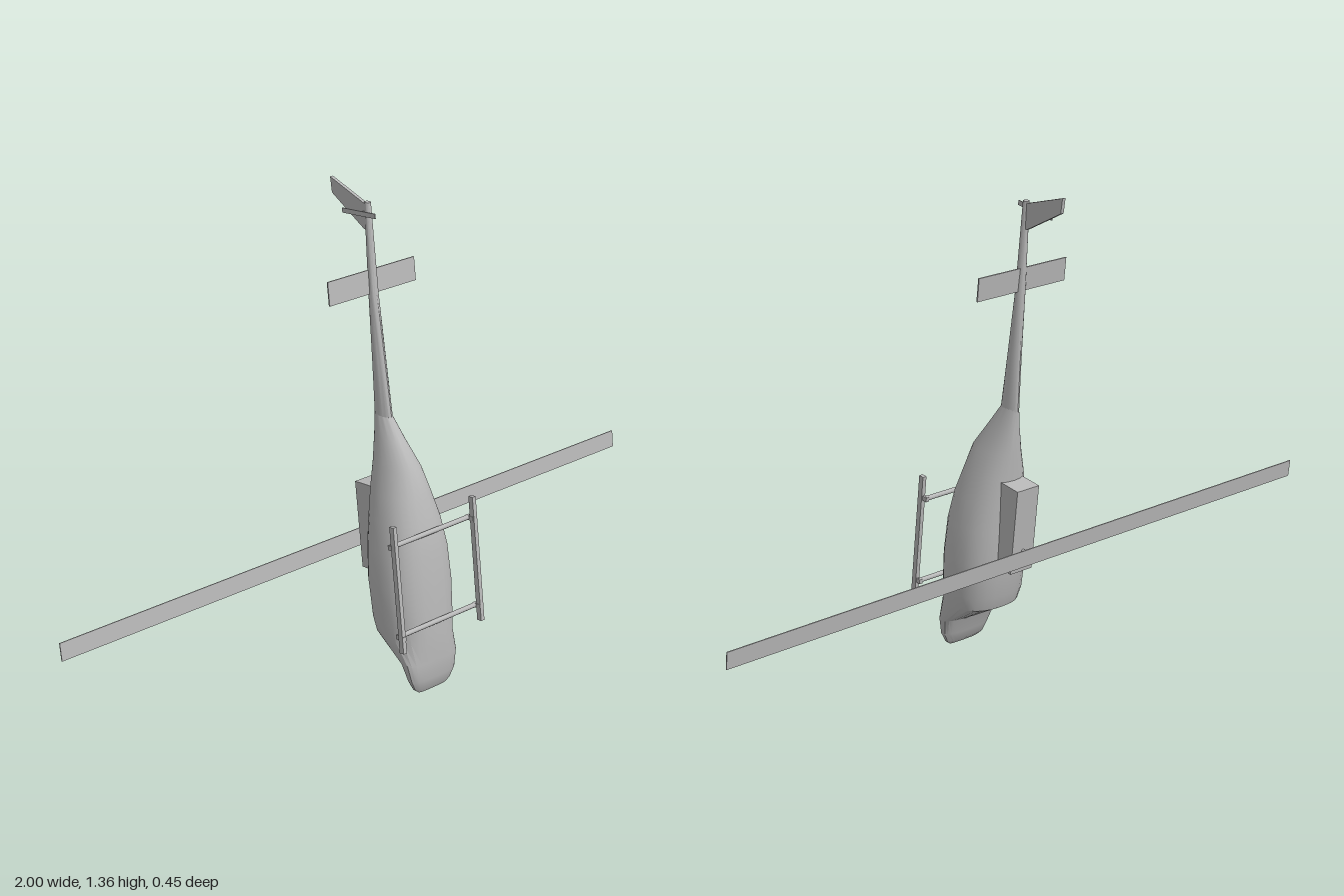
import * as THREE from 'three';
import { toCreasedNormals } from 'three/addons/utils/BufferGeometryUtils.js';

const TILT = 0.118; // the craft stands on its nose, leaning back slightly

// Skin over level superellipse sections: [y, zBelly, zRoof, halfWidth, exponent]
function loft(sections, sides) {
  const pos = [], idx = [];
  for (const [y, zf, zb, w, n] of sections) {
    for (let j = 0; j < sides; j++) {
      const a = (j / sides) * Math.PI * 2, s = Math.sin(a), c = Math.cos(a);
      const p = (v) => Math.sign(v) * Math.pow(Math.abs(v), 2 / n);
      pos.push(w * p(s), y, (zf + zb) / 2 + ((zf - zb) / 2) * p(c));
    }
  }
  const last = sections.length - 1;
  for (let i = 0; i < last; i++) {
    for (let j = 0; j < sides; j++) {
      const k = (j + 1) % sides, a = i * sides, b = a + sides;
      idx.push(a + j, a + k, b + j, a + k, b + k, b + j);
    }
  }
  // end caps
  const c0 = pos.length / 3, top = last * sides;
  for (const [y, zf, zb] of [sections[0], sections[last]]) pos.push(0, y, (zf + zb) / 2);
  for (let j = 0; j < sides; j++) {
    const k = (j + 1) % sides;
    idx.push(c0, k, j, c0 + 1, top + j, top + k);
  }
  const g = new THREE.BufferGeometry();
  g.setAttribute('position', new THREE.Float32BufferAttribute(pos, 3));
  g.setIndex(idx);
  return toCreasedNormals(g, 0.5);
}

export function createModel() {
  const model = new THREE.Group();
  model.name = 'helicopter';
  const grey = new THREE.MeshStandardMaterial({ color: 0xb8b8b8 });
  grey.name = 'light grey';

  const add = (name, geometry, x = 0, y = 0, z = 0, tilt = -TILT) => {
    const m = new THREE.Mesh(geometry, grey);
    m.name = name;
    m.position.set(x, y, z);
    m.rotation.x = tilt;
    model.add(m);
    return m;
  };
  const box = (w, h, d) => new THREE.BoxGeometry(w, h, d);

  // Cabin, from nose up to the root of the boom
  add('fuselage', loft([
    [0.0, 0.186, 0.176, 0.05, 2.4],
    [0.012, 0.193, 0.163, 0.066, 2.4],
    [0.04, 0.2, 0.153, 0.08, 2.5],
    [0.09, 0.202, 0.13, 0.091, 2.5],
    [0.155, 0.2, 0.015, 0.1, 2.5],
    [0.195, 0.198, 0.0, 0.104, 2.5],
    [0.3, 0.188, -0.014, 0.109, 2.5],
    [0.4, 0.176, -0.023, 0.102, 2.5],
    [0.48, 0.16, -0.03, 0.088, 2.4],
    [0.55, 0.135, -0.036, 0.072, 2.3],
    [0.62, 0.11, -0.041, 0.052, 2.2],
    [0.69, 0.056, -0.046, 0.031, 2.1],
    [0.75, 0.01, -0.05, 0.016, 2],
  ], 24), 0, 0, 0, 0);

  // Tapering tail boom
  add('tailBoom', loft([
    [0.74, 0.014, -0.05, 0.017, 2],
    [0.9, -0.014, -0.06, 0.015, 2],
    [1.08, -0.045, -0.073, 0.013, 2],
    [1.325, -0.072, -0.091, 0.008, 2],
  ], 16), 0, 0, 0, 0);

  // Engine housing on the roof
  add('engineHousing', box(0.076, 0.25, 0.09), 0, 0.416, -0.034);

  // Main rotor: mast and one two-ended blade
  const mast = new THREE.CylinderGeometry(0.005, 0.005, 0.06, 10);
  mast.rotateX(Math.PI / 2);
  add('rotorMast', mast, 0, 0.348, -0.085);
  add('mainRotorBlade', box(2, 0.05, 0.003), 0, 0.349, -0.115);

  // Tail surfaces
  add('horizontalStabilizer', box(0.3, 0.065, 0.004), 0, 1.111, -0.065);
  const finShape = new THREE.Shape([
    [0.08, 1.32], [0.09, 1.32], [0.225, 1.36], [0.218, 1.318], [0.09, 1.25], [0.08, 1.25],
  ].map(([z, y]) => new THREE.Vector2(z, y)));
  const fin = new THREE.ExtrudeGeometry(finShape, { depth: 0.01, bevelEnabled: false });
  fin.translate(0, 0, -0.005).rotateY(Math.PI / 2);
  add('tailFin', fin, 0, 0, 0, 0);

  // Tail rotor on one side of the boom
  const hub = new THREE.CylinderGeometry(0.003, 0.003, 0.022, 8);
  hub.rotateZ(Math.PI / 2);
  add('tailRotorHub', hub, -0.012, 1.297, -0.088);
  add('tailRotorBlade', box(0.003, 0.013, 0.13), -0.023, 1.297, -0.09);

  // Landing skids and cross tubes
  for (const side of [-1, 1]) {
    add(side > 0 ? 'leftSkid' : 'rightSkid', box(0.012, 0.36, 0.016), side * 0.142, 0.35, 0.199);
  }
  for (const [y, z] of [[0.212, 0.201], [0.465, 0.168]]) {
    const tube = new THREE.CylinderGeometry(0.007, 0.007, 0.284, 10);
    tube.rotateZ(Math.PI / 2);
    add('skidCrossTube', tube, 0, y, z);
    for (const side of [-1, 1]) add('skidMount', box(0.01, 0.013, 0.03), side * 0.14, y, z + 0.008);
  }
  return model;
}
